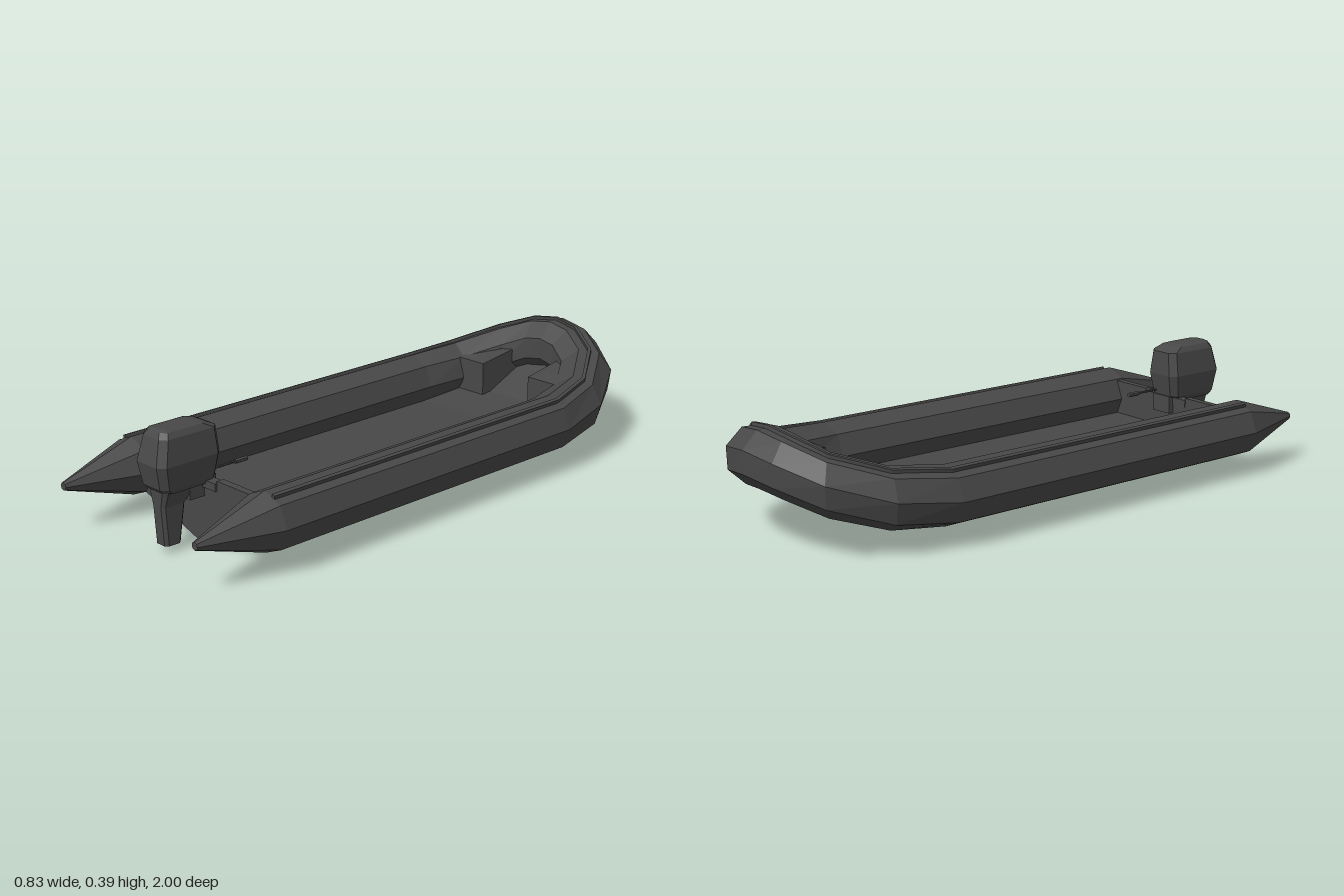
import * as THREE from 'three';

// Flat-shaded solid from equal-length rings of [x, y, z], capped at both ends
function loft(rings) {
  const pos = [];
  const tri = (a, b, c) => pos.push(...a, ...b, ...c);
  const n = rings[0].length;
  for (let i = 0; i < rings.length - 1; i++) {
    for (let j = 0; j < n; j++) {
      const k = (j + 1) % n, a = rings[i], b = rings[i + 1];
      tri(a[j], a[k], b[k]);
      tri(a[j], b[k], b[j]);
    }
  }
  for (const [ring, flip] of [[rings[0], true], [rings[rings.length - 1], false]]) {
    const c = [0, 1, 2].map(d => ring.reduce((s, p) => s + p[d], 0) / n);
    for (let j = 0; j < n; j++) {
      const k = (j + 1) % n;
      if (flip) tri(c, ring[k], ring[j]); else tri(c, ring[j], ring[k]);
    }
  }
  // Signed volume tells whether the faces point outward
  let vol = 0;
  for (let i = 0; i < pos.length; i += 9) {
    const [ax, ay, az, bx, by, bz, cx, cy, cz] = pos.slice(i, i + 9);
    vol += ax * (by * cz - bz * cy) + ay * (bz * cx - bx * cz) + az * (bx * cy - by * cx);
  }
  if (vol < 0) {
    for (let i = 0; i < pos.length; i += 9) {
      for (let d = 0; d < 3; d++) [pos[i + 3 + d], pos[i + 6 + d]] = [pos[i + 6 + d], pos[i + 3 + d]];
    }
  }
  const g = new THREE.BufferGeometry();
  g.setAttribute('position', new THREE.Float32BufferAttribute(pos, 3));
  g.computeVertexNormals();
  return g;
}

// Rectangle with cut corners in the xz plane
function chamferRing(y, w, z0, z1, c) {
  return [[w - c, z0], [w, z0 + c], [w, z1 - c], [w - c, z1],
    [c - w, z1], [-w, z1 - c], [-w, z0 + c], [c - w, z0]].map(([x, z]) => [x, y, z]);
}

export function createModel() {
  const group = new THREE.Group();
  const rubber = new THREE.MeshStandardMaterial({ color: 0x484848, flatShading: true });
  rubber.name = 'dark grey';
  const add = (name, geometry) => {
    const m = new THREE.Mesh(geometry, rubber);
    m.name = name;
    group.add(m);
    return m;
  };

  // Tube centre line from one stern to the bow: x, y, z, inward roll in degrees
  const half = [
    [0.318, 0.154, 0.74, 0], [0.318, 0.154, -0.5, 0], [0.285, 0.172, -0.68, 6],
    [0.2, 0.22, -0.83, 14], [0.095, 0.262, -0.895, 20], [0, 0.275, -0.91, 22.5],
  ];
  const path = [...half, ...half.slice(0, -1).reverse().map(([x, ...r]) => [-x, ...r])];
  const last = path.length - 1;
  // Point on a station, given in the tube's own section (outward, up)
  const onTube = (i, u, v) => {
    const [x, y, z, roll] = path[i];
    const a = path[Math.max(i - 1, 0)], b = path[Math.min(i + 1, last)];
    const t = new THREE.Vector2(b[0] - a[0], b[2] - a[2]);
    if (i === 0) t.set(0, -1);
    if (i === last) t.set(0, 1);
    t.normalize();
    const r = roll * Math.PI / 180;
    const out = u * Math.cos(r) - v * Math.sin(r), up = u * Math.sin(r) + v * Math.cos(r);
    return [x - t.y * out, y + up, z + t.x * out];
  };

  // Inflatable side tube with pointed stern cones
  const section = Array.from({ length: 8 }, (_, k) => [Math.cos(k * Math.PI / 4), Math.sin(k * Math.PI / 4)]);
  const tubeRings = path.map((p, i) => section.map(([c, s]) => onTube(i, c * 0.095, s * 0.097)));
  const tip = side => section.map(([c, s]) => [side * (0.318 + c * 0.013), 0.154 + s * 0.013, 1]);
  add('sideTube', loft([tip(1), ...tubeRings, tip(-1)]));

  // Thin rail strip along the top of the tube
  const strip = [[0.028, 0.08], [0.04, 0.076], [0.043, 0.091], [0.032, 0.095]];
  add('railStrip', loft(path.map((p, i) => strip.map(([u, v]) => onTube(i, u, v)))));

  // V-shaped hull with a flat floor: z, half width, side y, keel y, floor y
  const stations = [
    [0.735, 0.27, 0.088, 0.003, 0.1], [-0.49, 0.27, 0.088, 0.003, 0.1],
    [-0.68, 0.24, 0.115, 0.06, 0.125], [-0.82, 0.15, 0.175, 0.15, 0.19], [-0.88, 0.06, 0.2, 0.19, 0.22],
  ];
  add('hull', loft(stations.map(([z, w, ys, k, f]) => {
    const mid = k + (ys - k) * 0.4;
    return [[-w, ys, z], [-0.4 * w, mid, z], [0, k, z], [0.4 * w, mid, z], [w, ys, z], [w, f, z], [-w, f, z]];
  })));

  // Transom board with a notch for the motor
  const board = new THREE.Shape([
    [-0.26, 0.085], [-0.1, 0.036], [0, 0.003], [0.1, 0.036], [0.26, 0.085], [0.26, 0.218],
    [0.1, 0.218], [0.09, 0.2], [-0.09, 0.2], [-0.1, 0.218], [-0.26, 0.218],
  ].map(p => new THREE.Vector2(...p)));
  add('transom', new THREE.ExtrudeGeometry(board, { depth: 0.025, bevelEnabled: false })).position.z = 0.715;

  // Bow lockers, one in each corner
  const plan = [[0.105, -0.64, 0.235], [0.26, -0.64, 0.235], [0.25, -0.72, 0.25], [0.17, -0.82, 0.265], [0.1, -0.84, 0.265]];
  for (const s of [1, -1]) {
    add(s > 0 ? 'leftBowLocker' : 'rightBowLocker', loft([
      plan.map(([x, z]) => [s * x, 0.11 - (z + 0.64) * 0.3, z]),
      plan.map(([x, z, y]) => [s * x, y, z]),
    ]));
  }

  // Outboard motor cowl
  add('motorCowl', loft([
    chamferRing(0.2, 0.055, 0.72, 0.89, 0.02),
    chamferRing(0.215, 0.06, 0.7, 0.905, 0.02),
    chamferRing(0.29, 0.069, 0.685, 0.92, 0.022),
    chamferRing(0.37, 0.057, 0.69, 0.9, 0.02),
    chamferRing(0.387, 0.045, 0.725, 0.89, 0.018),
    chamferRing(0.393, 0.03, 0.75, 0.88, 0.014),
  ]));

  // Motor leg
  add('motorLeg', loft([
    chamferRing(0.21, 0.046, 0.75, 0.89, 0.014),
    chamferRing(0.15, 0.028, 0.8, 0.888, 0.01),
    chamferRing(0.025, 0.028, 0.82, 0.88, 0.01),
  ]));

  // Clamp bracket holding the motor on the transom
  add('clampBracket', new THREE.BoxGeometry(0.08, 0.06, 0.1)).position.set(0, 0.185, 0.745);
  add('clampPlate', new THREE.BoxGeometry(0.2, 0.025, 0.035)).position.set(0, 0.198, 0.73);

  // Tiller arm and grip
  for (const [name, r, length, z] of [['tillerArm', 0.004, 0.12, 0.65], ['tillerGrip', 0.008, 0.045, 0.59]]) {
    const m = add(name, new THREE.CylinderGeometry(r, r, length, 6));
    m.rotation.x = Math.PI / 2;
    m.position.set(0.03, 0.228, z);
  }
  return group;
}
